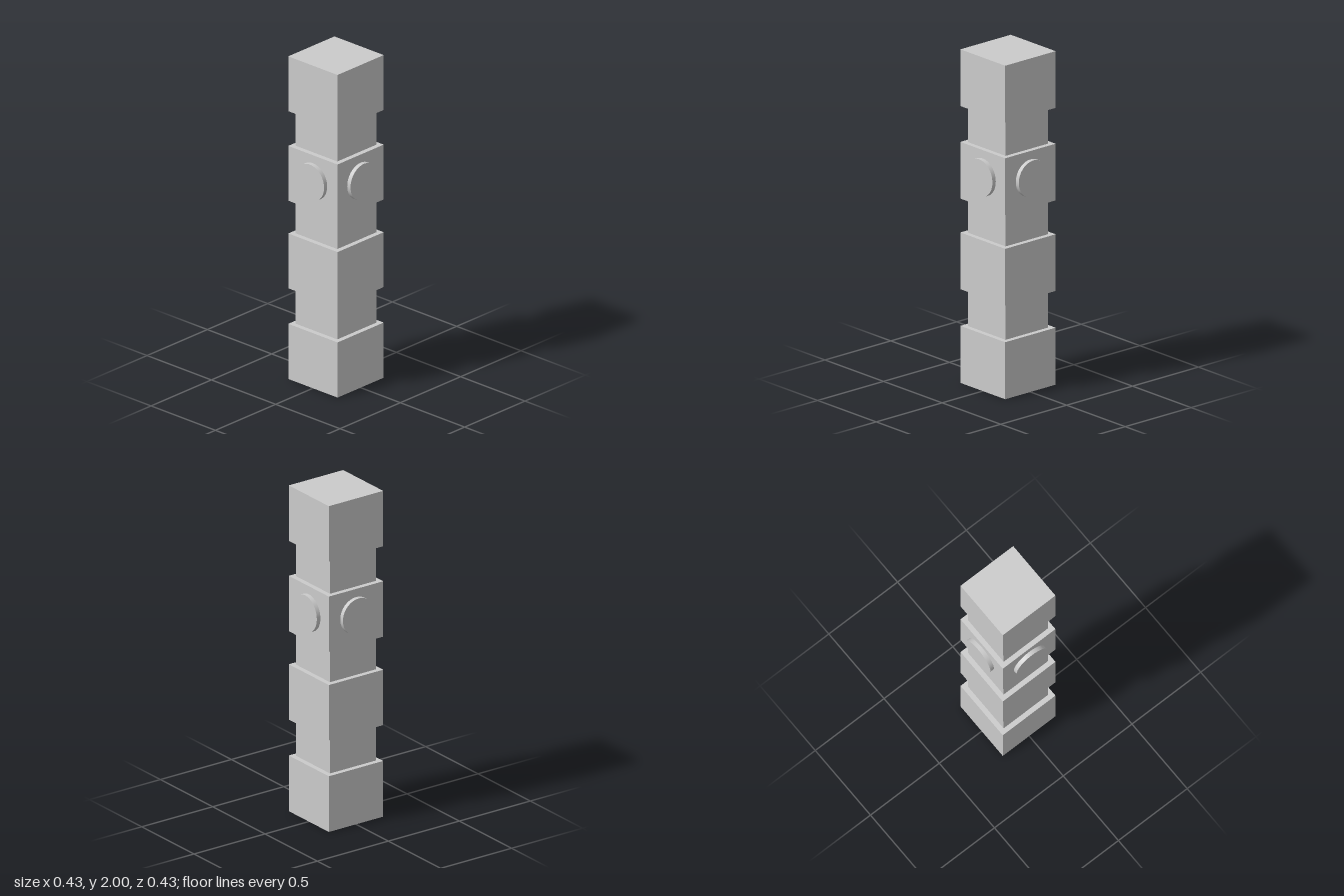
import * as THREE from 'three';

export function createModel() {
  const model = new THREE.Group();
  const material = new THREE.MeshStandardMaterial({ color: 0xcccccc });

  // Square section of the post between two heights
  function addSection(name, width, bottom, top) {
    const mesh = new THREE.Mesh(new THREE.BoxGeometry(width, top - bottom, width), material);
    mesh.name = name;
    mesh.position.y = (bottom + top) / 2;
    model.add(mesh);
  }

  // Wide blocks stacked up the post
  const blocks = [
    ['baseBlock', 0, 0.342],
    ['lowerBlock', 0.562, 0.902],
    ['discBlock', 1.105, 1.445],
    ['topBlock', 1.66, 2],
  ];
  blocks.forEach(([name, bottom, top]) => addSection(name, 0.383, bottom, top));

  // Narrower necks filling the gaps between blocks
  for (let i = 0; i < blocks.length - 1; i++) {
    addSection(`neck${i + 1}`, 0.323, blocks[i][2], blocks[i + 1][1]);
  }

  // Round disc on each side of the third block
  const discGeometry = new THREE.CylinderGeometry(0.111, 0.111, 0.026, 64);
  discGeometry.rotateX(Math.PI / 2).translate(0, 1.284, 0.204);
  ['frontDisc', 'leftDisc', 'backDisc', 'rightDisc'].forEach((name, i) => {
    const disc = new THREE.Mesh(discGeometry, material);
    disc.name = name;
    disc.rotation.y = (i * Math.PI) / 2;
    model.add(disc);
  });

  return model;
}
